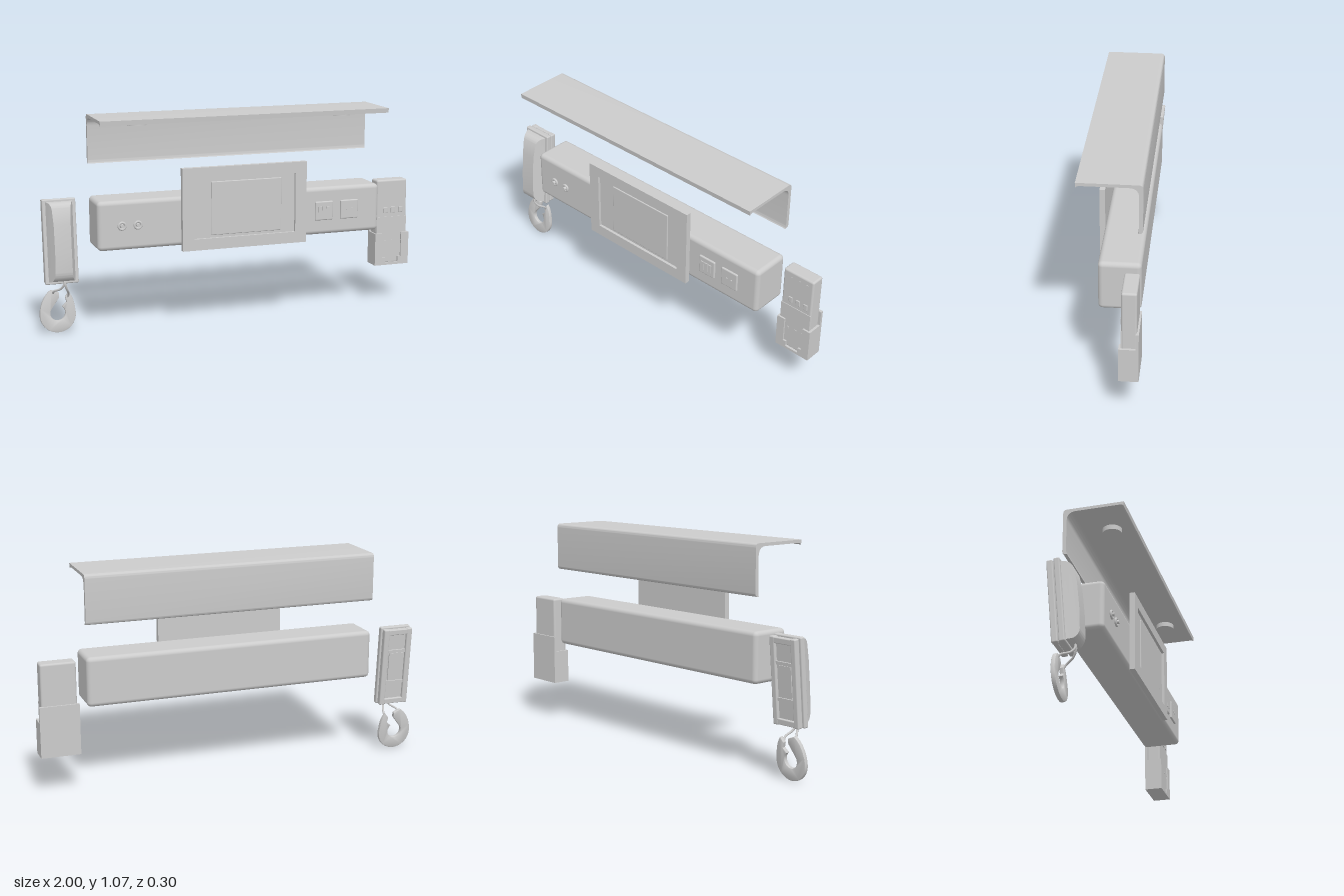
import * as THREE from 'three';
import { RoundedBoxGeometry } from 'three/addons/geometries/RoundedBoxGeometry.js';
import { toCreasedNormals } from 'three/addons/utils/BufferGeometryUtils.js';

const material = new THREE.MeshStandardMaterial({ color: 0xcccccc });

function add(parent, name, geometry, x = 0, y = 0, z = 0) {
  const mesh = new THREE.Mesh(geometry, material);
  mesh.name = name;
  mesh.position.set(x, y, z);
  parent.add(mesh);
  return mesh;
}

function group(parent, name) {
  const g = new THREE.Group();
  g.name = name;
  parent.add(g);
  return g;
}

// Box given by its limits, optionally with rounded edges
function block(parent, name, [x0, x1], [y0, y1], [z0, z1], r = 0) {
  const size = [x1 - x0, y1 - y0, z1 - z0];
  const geo = r ? new RoundedBoxGeometry(...size, 4, r) : new THREE.BoxGeometry(...size);
  return add(parent, name, geo, (x0 + x1) / 2, (y0 + y1) / 2, (z0 + z1) / 2);
}

function rect(path, x0, y0, x1, y1) {
  return path.moveTo(x0, y0).lineTo(x1, y0).lineTo(x1, y1).lineTo(x0, y1).closePath();
}

function extrude(shape, depth, extra = {}) {
  return new THREE.ExtrudeGeometry(shape, { depth, bevelEnabled: false, curveSegments: 10, ...extra });
}

// Extrude a (z, y) side profile along x, starting at x = x0
function extrudeSide(shape, x0, x1) {
  const geo = extrude(shape, x1 - x0);
  geo.rotateY(-Math.PI / 2).translate(x1, 0, 0);
  return toCreasedNormals(geo, 0.6);
}

function buildShelf(root) {
  const shelf = group(root, 'shelf');
  const s = new THREE.Shape();
  s.moveTo(0.152, 1.078).lineTo(-0.127, 1.078);
  s.quadraticCurveTo(-0.147, 1.078, -0.147, 1.058);
  s.lineTo(-0.147, 0.85).quadraticCurveTo(-0.146, 0.834, -0.124, 0.834);
  s.quadraticCurveTo(-0.129, 0.84, -0.129, 0.855);
  s.lineTo(-0.129, 1.02).quadraticCurveTo(-0.127, 1.062, -0.085, 1.063);
  s.lineTo(0.13, 1.063).quadraticCurveTo(0.144, 1.063, 0.15, 1.055);
  s.closePath();
  add(shelf, 'shelfPanel', extrudeSide(s, -0.73, 0.76));
  for (const x of [-0.522, 0.543])
    add(shelf, 'downlight', new THREE.CylinderGeometry(0.048, 0.048, 0.027, 32), x, 1.052, 0.036);
}

function buildConsole(root) {
  const unit = group(root, 'console');
  block(unit, 'consoleBody', [-0.73, 0.76], [0.428, 0.674], [-0.142, 0.058], 0.022);

  // Round jack sockets
  for (const x of [-0.61, -0.53]) {
    add(unit, 'jackRing', new THREE.TorusGeometry(0.017, 0.006, 10, 28), x, 0.55, 0.062);
    add(unit, 'jackPin', new THREE.CylinderGeometry(0.009, 0.011, 0.025, 20), x, 0.55, 0.064).rotation.x = Math.PI / 2;
  }

  // Square outlet plates: rocker switch and two-pin socket
  for (const x of [0.452, 0.592])
    block(unit, 'outletPlate', [x - 0.049, x + 0.049], [0.504, 0.602], [0.053, 0.067], 0.006);
  for (let i = -1; i <= 1; i++)
    block(unit, 'switchKey', [0.441 + i * 0.022, 0.46 + i * 0.022], [0.53, 0.576], [0.064, 0.071]);
  for (const x of [0.578, 0.606])
    add(unit, 'socketPin', new THREE.CylinderGeometry(0.006, 0.006, 0.006, 14), x, 0.553, 0.067).rotation.x = Math.PI / 2;
}

function buildScreen(root) {
  const screen = group(root, 'screen');
  const frame = rect(new THREE.Shape(), -0.312, 0.405, 0.342, 0.82);
  frame.holes.push(rect(new THREE.Path(), -0.252, 0.462, 0.282, 0.765));
  add(screen, 'screenFrame', extrude(frame, 0.027), 0, 0, 0.065);
  block(screen, 'screenBack', [-0.3, 0.33], [0.415, 0.81], [0.0655, 0.078]);
  block(screen, 'screenPanel', [-0.16, 0.21], [0.475, 0.745], [0.074, 0.083], 0.004);
  block(screen, 'screenMount', [-0.1, 0.13], [0.5, 0.6], [0.05, 0.067]);
}

function buildRemote(root) {
  const remote = group(root, 'remote');
  block(remote, 'remoteBody', [0.811, 0.985], [0.21, 0.664], [-0.14, -0.069], 0.01);
  block(remote, 'remoteFrontCover', [0.812, 0.984], [0.225, 0.465], [-0.08, -0.066]);
  for (let i = 0; i < 3; i++) {
    const x = 0.862 + i * 0.044;
    block(remote, 'remoteButton', [x - 0.012, x + 0.012], [0.485, 0.518], [-0.072, -0.065], 0.003);
    block(remote, 'remoteLamp', [x - 0.005, x + 0.005], [0.628, 0.634], [-0.072, -0.067]);
    block(remote, 'remoteKey', [x - 0.007, x + 0.007], [0.325, 0.337], [-0.07, -0.064]);
  }

  // Open pocket with a stepped front cut-out and a taller back
  const holder = group(root, 'remoteHolder');
  block(holder, 'holderBack', [0.802, 0.997], [0.203, 0.457], [-0.149, -0.135]);
  for (const [a, b] of [[0.802, 0.814], [0.985, 0.997]])
    block(holder, 'holderSide', [a, b], [0.203, 0.376], [-0.136, -0.057]);
  block(holder, 'holderFloor', [0.802, 0.997], [0.203, 0.215], [-0.136, -0.057]);
  const front = new THREE.Shape();
  front.setFromPoints([
    [0.802, 0.203], [0.997, 0.203], [0.997, 0.376], [0.953, 0.376], [0.953, 0.245], [0.935, 0.245],
    [0.935, 0.216], [0.862, 0.216], [0.862, 0.245], [0.845, 0.245], [0.845, 0.376], [0.802, 0.376],
  ].map(p => new THREE.Vector2(...p)));
  add(holder, 'holderFront', extrude(front, 0.009), 0, 0, -0.066);
}

function buildHandset(root) {
  const handset = group(root, 'handset');
  handset.position.set(-0.89, 0.468, -0.06);
  handset.rotation.x = -0.085;

  // Stepped cradle, recessed at the back
  block(handset, 'cradlePlate', [-0.083, 0.083], [-0.21, 0.21], [-0.028, 0], 0.006);
  block(handset, 'cradleCore', [-0.066, 0.066], [-0.2, 0.2], [-0.05, -0.02]);
  for (const side of [-1, 1]) {
    const x = side * 0.064;
    block(handset, 'cradleRail', [x - 0.015, x + 0.015], [-0.207, 0.207], [-0.064, -0.034], 0.006);
    const y = side * 0.19;
    block(handset, 'cradleEnd', [-0.06, 0.06], [y - 0.014, y + 0.014], [-0.063, -0.04], 0.004);
    block(handset, 'cradleBar', [-0.05, 0.05], [side * 0.085 - 0.008, side * 0.085 + 0.008], [-0.058, -0.045]);
  }
  block(handset, 'cradlePanel', [-0.04, 0.04], [-0.075, 0.075], [-0.056, -0.045]);

  // Raised body, narrowing towards the front
  const s = new THREE.Shape();
  s.moveTo(-0.005, -0.198).lineTo(0.03, -0.192);
  s.quadraticCurveTo(0.056, -0.178, 0.06, -0.145);
  s.lineTo(0.064, -0.04).lineTo(0.062, 0.09);
  s.lineTo(0.052, 0.165).quadraticCurveTo(0.044, 0.19, 0.02, 0.196);
  s.lineTo(-0.005, 0.198).closePath();
  const body = extrudeSide(s, -0.068, 0.068);
  const p = body.attributes.position;
  for (let i = 0; i < p.count; i++)
    p.setX(i, p.getX(i) * (1 - 0.4 * Math.max(0, p.getZ(i)) / 0.064));
  add(handset, 'handsetBody', toCreasedNormals(body, 0.4));
}

function buildHook(root) {
  const hook = group(root, 'hook');
  // Open ring, swung slightly back at the top
  const s = new THREE.Shape();
  s.moveTo(-0.028, 0.215);
  s.bezierCurveTo(-0.06, 0.2, -0.09, 0.145, -0.09, 0.09);
  s.absarc(0, 0.09, 0.09, Math.PI, Math.PI * 2.08, false);
  s.bezierCurveTo(0.084, 0.15, 0.078, 0.175, 0.058, 0.2);
  s.lineTo(0.04, 0.175).lineTo(0.046, 0.15).lineTo(0.024, 0.13);
  s.absarc(0, 0.098, 0.038, 0.9, -Math.PI * 1.2, true);
  s.lineTo(0.01, 0.175).lineTo(0.01, 0.2).closePath();
  const geo = extrude(s, 0.012, {
    bevelEnabled: true, bevelSize: 0.003, bevelThickness: 0.004, bevelOffset: -0.003, bevelSegments: 2,
  });
  const ring = add(hook, 'hookRing', toCreasedNormals(geo, 0.7), -0.91, 0.004, -0.08);
  ring.rotation.x = -0.09;

  // Cord loop from the handset down to both hook ends
  const cords = [
    [[-0.89, 0.32, -0.035], [-0.886, 0.262, -0.022], [-0.9, 0.235, -0.04], [-0.928, 0.215, -0.075], [-0.93, 0.195, -0.092]],
    [[-0.882, 0.32, -0.035], [-0.88, 0.258, -0.02], [-0.868, 0.225, -0.035], [-0.855, 0.2, -0.07], [-0.86, 0.17, -0.09]],
  ];
  for (const pts of cords) {
    const curve = new THREE.CatmullRomCurve3(pts.map(q => new THREE.Vector3(...q)));
    add(hook, 'cord', new THREE.TubeGeometry(curve, 28, 0.0055, 8));
  }
}

export function createModel() {
  const root = new THREE.Group();
  root.name = 'wallConsoleSet';
  buildShelf(root);
  buildConsole(root);
  buildScreen(root);
  buildRemote(root);
  buildHandset(root);
  buildHook(root);
  return root;
}
